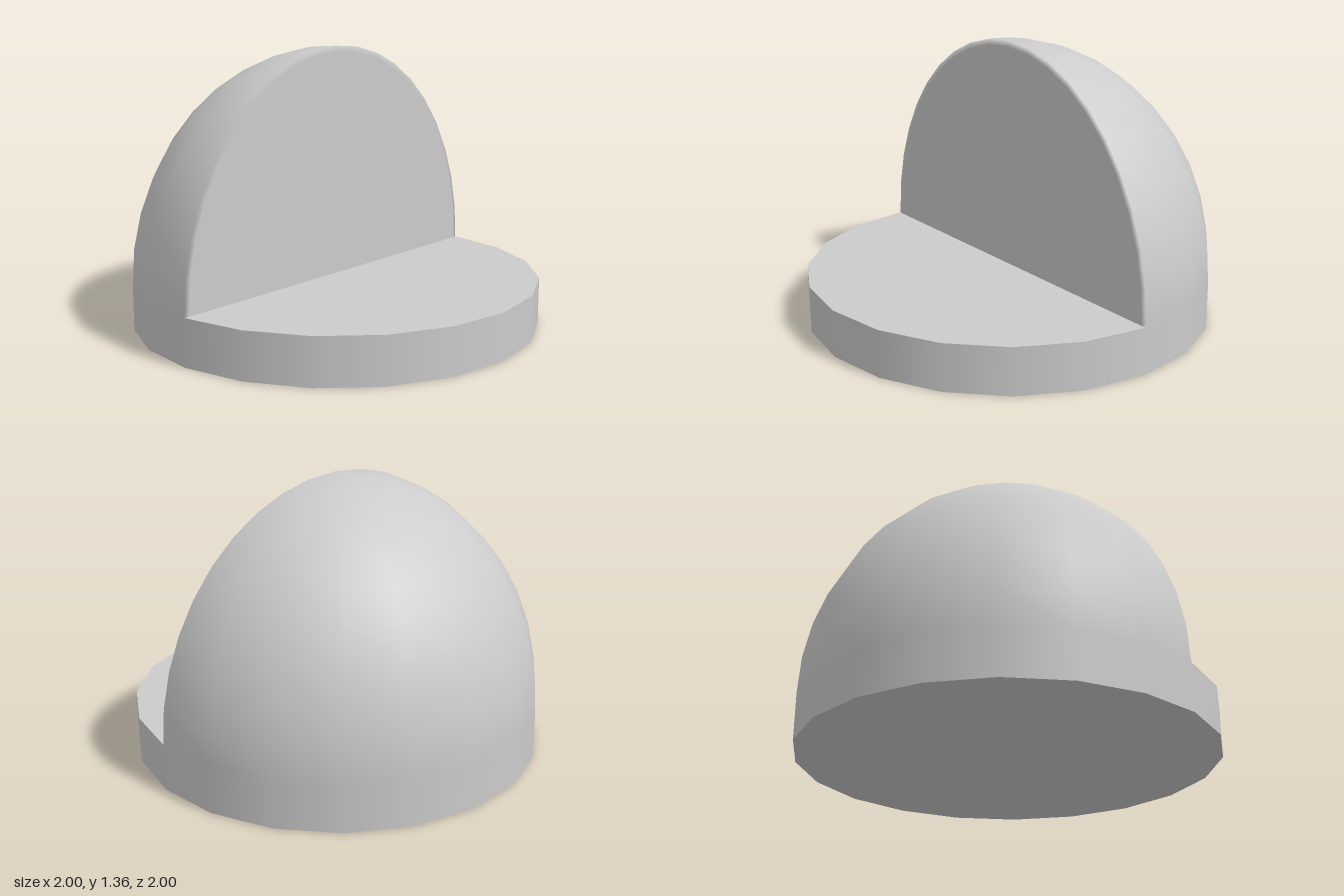
import * as THREE from 'three';

const BASE = 0.23;   // height of the round base
const RISE = 1.125;  // height of the dome above it
const SIDES = 20;

export function createModel() {
  const group = new THREE.Group();
  const material = new THREE.MeshStandardMaterial({ color: 0xcccccc });
  const add = (name, geometry, y) => {
    const mesh = new THREE.Mesh(geometry, material);
    mesh.name = name;
    mesh.position.y = y;
    group.add(mesh);
  };

  // Round base
  add('base', new THREE.CylinderGeometry(1, 1, BASE, SIDES), BASE / 2);

  // Half dome over the back of the base
  const dome = new THREE.SphereGeometry(1, SIDES / 2, SIDES / 2, Math.PI, Math.PI, 0, Math.PI / 2);
  dome.scale(1, RISE, 1);
  add('dome', dome, BASE);

  // Arch outline of the flat front, from +x over the top to -x
  const arch = (scale) => Array.from({ length: SIDES + 1 }, (_, i) => {
    const a = (i / SIDES) * Math.PI;
    return new THREE.Vector2(Math.cos(a) * scale, Math.sin(a) * RISE * scale);
  });
  const outer = arch(1), inner = arch(0.975), lip = 0.004;

  // Narrow softened rim that blends the dome into the flat front
  const positions = [], normals = [], index = [];
  outer.forEach((p, i) => {
    const n = new THREE.Vector3(p.x, p.y / (RISE * RISE), 0).normalize();
    positions.push(p.x, p.y, 0, inner[i].x, inner[i].y, lip);
    normals.push(n.x, n.y, n.z, 0, 0, 1);
    if (i < SIDES) {
      const k = i * 2;
      index.push(k, k + 2, k + 1, k + 1, k + 2, k + 3);
    }
  });
  const rim = new THREE.BufferGeometry();
  rim.setAttribute('position', new THREE.Float32BufferAttribute(positions, 3));
  rim.setAttribute('normal', new THREE.Float32BufferAttribute(normals, 3));
  rim.setIndex(index);
  add('frontRim', rim, BASE);

  // Flat upright front
  const face = new THREE.ShapeGeometry(new THREE.Shape(inner));
  face.translate(0, 0, lip);
  add('frontFace', face, BASE);

  return group;
}
